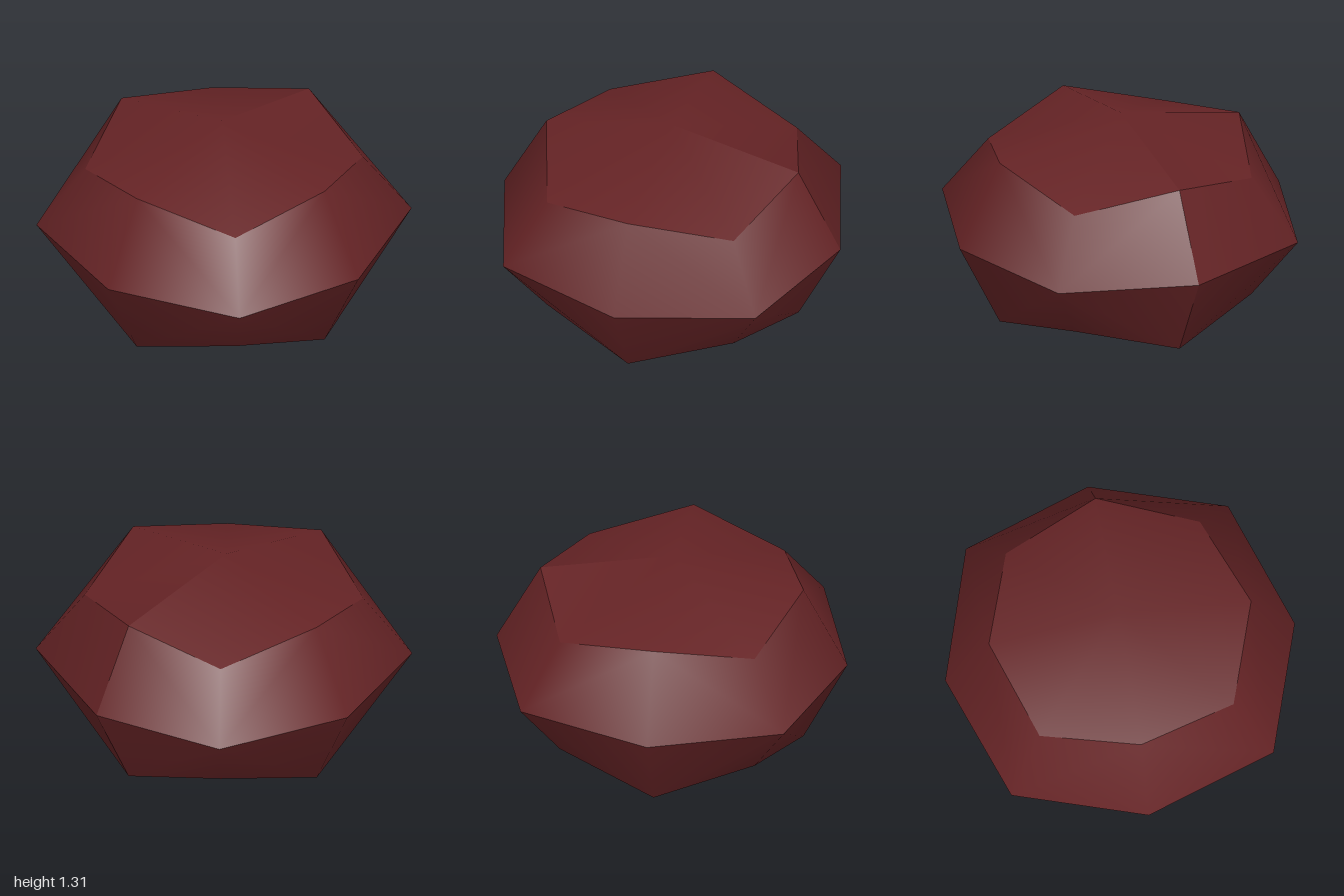
import * as THREE from 'three';

// Eight compass directions, counterclockwise seen from above, starting at +x
const DIRS = [[1, 0], [1, -1], [0, -1], [-1, -1], [-1, 0], [-1, 1], [0, 1], [1, 1]];
const SIDES = DIRS.length;
const SHIFT = -0.008; // slight off-centre skew of the axis points

// Ring of nine points (the last repeats the first, leaving a shading seam at +x).
// Even points lie on the axes, odd points on the diagonals.
function ring(axisR, axisY, diagR, diagY) {
  return Array.from({ length: SIDES + 1 }, (_, i) => {
    const [dx, dz] = DIRS[i % SIDES];
    const r = i % 2 ? diagR : axisR;
    const y = i % 2 ? diagY : axisY;
    return [dx ? dx * r : SHIFT, y, dz ? dz * r : SHIFT];
  });
}

function smoothMesh(name, points, index, material) {
  const geometry = new THREE.BufferGeometry();
  geometry.setAttribute('position', new THREE.Float32BufferAttribute(points.flat(), 3));
  geometry.setIndex(index);
  geometry.computeVertexNormals();
  const mesh = new THREE.Mesh(geometry, material);
  mesh.name = name;
  return mesh;
}

// Band of eight quads between two rings, each split along its convex diagonal
function band(name, lower, upper, flip, material) {
  const index = [];
  const n = SIDES + 1;
  for (let i = 0; i < SIDES; i++) {
    const a = i, b = i + 1, c = n + i + 1, d = n + i;
    if ((i % 2 === 0) !== flip) index.push(a, b, d, b, c, d);
    else index.push(a, b, c, a, c, d);
  }
  return smoothMesh(name, [...lower, ...upper], index, material);
}

// Shallow fan closing a ring
function cap(name, rim, y, up, material) {
  const index = [];
  for (let i = 1; i <= SIDES; i++) index.push(0, ...(up ? [i, i + 1] : [i + 1, i]));
  return smoothMesh(name, [[SHIFT, y, SHIFT], ...rim], index, material);
}

export function createModel() {
  const group = new THREE.Group();
  group.name = 'facetedStone';
  const stone = new THREE.MeshStandardMaterial({ color: 0x652325 });
  stone.name = 'dark red stone';

  const bottom = ring(0.75, 0.157, 0.555, 0.3);
  const middle = ring(1, 0.664, 0.75, 0.664);
  const top = ring(0.75, 1.15, 0.555, 1.025);

  group.add(
    cap('topCap', top, 1.306, true, stone),
    band('upperBand', middle, top, false, stone),
    band('lowerBand', bottom, middle, true, stone),
    cap('bottomCap', bottom, 0, false, stone),
  );
  return group;
}
